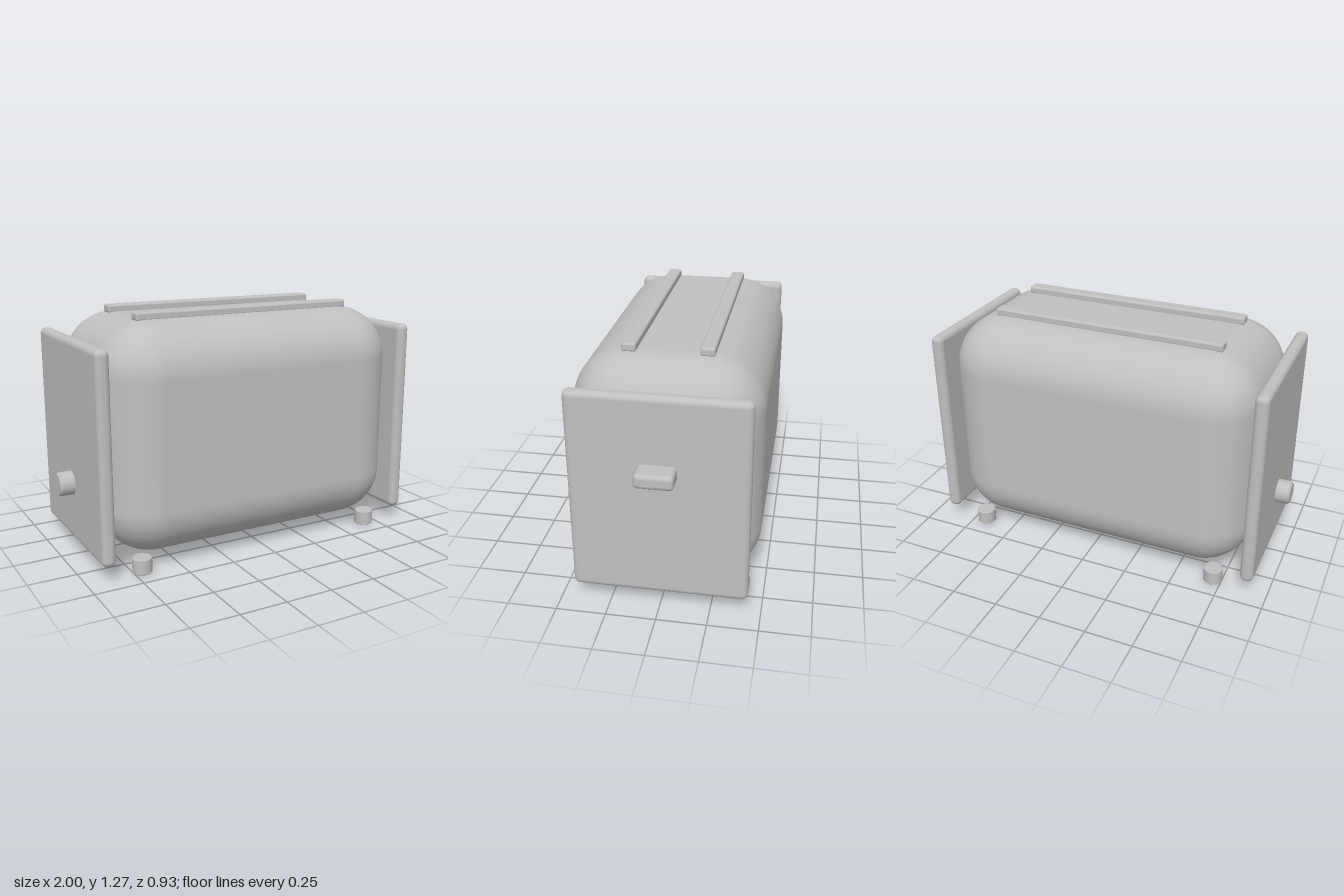
import * as THREE from 'three';
import { RoundedBoxGeometry } from 'three/addons/geometries/RoundedBoxGeometry.js';

export function createModel() {
  const model = new THREE.Group();
  model.name = 'toaster';
  const grey = new THREE.MeshStandardMaterial({ color: 0xbfbfbf });
  grey.name = 'plain grey';

  function add(name, geometry, x, y, z) {
    const mesh = new THREE.Mesh(geometry, grey);
    mesh.name = name;
    mesh.position.set(x, y, z);
    model.add(mesh);
    return mesh;
  }
  const box = (w, h, d, r, segments = 3) => new RoundedBoxGeometry(w, h, d, segments, r);

  // Short cylinder along y with a softened rim; doubled points keep the caps flat
  function button(radius, height, bevel) {
    const h = height / 2, r = radius, b = bevel;
    const points = [
      [0, -h], [r - b, -h], [r - b, -h], [r, -h + b], [r, -h + b],
      [r, h - b], [r, h - b], [r - b, h], [r - b, h], [0, h],
    ].map(([x, y]) => new THREE.Vector2(x, y));
    return new THREE.LatheGeometry(points, 32);
  }

  // Softly rounded main shell
  add('body', box(1.68, 1.185, 0.934, 0.267, 12), -0.013, 0.642, 0);

  // Flat end panels
  add('rightPanel', box(0.07, 1.06, 0.87, 0.03), -0.89, 0.61, 0);
  add('leftPanel', box(0.07, 1.06, 0.87, 0.03), 0.861, 0.61, 0);

  // Lever on one end, dial on the other
  add('lever', box(0.125, 0.074, 0.188, 0.022), 0.937, 0.763, 0);
  add('dial', button(0.062, 0.09, 0.01), -0.955, 0.393, 0).rotation.z = Math.PI / 2;

  // Rails over the slots, and feet at the corners
  for (const side of [-1, 1]) {
    add('slotRail', box(1.243, 0.044, 0.072, 0.012), -0.014, 1.248, side * 0.187);
    for (const x of [-0.704, 0.674]) {
      add('foot', button(0.05, 0.08, 0.004), x, 0.04, side * 0.376);
    }
  }

  return model;
}
